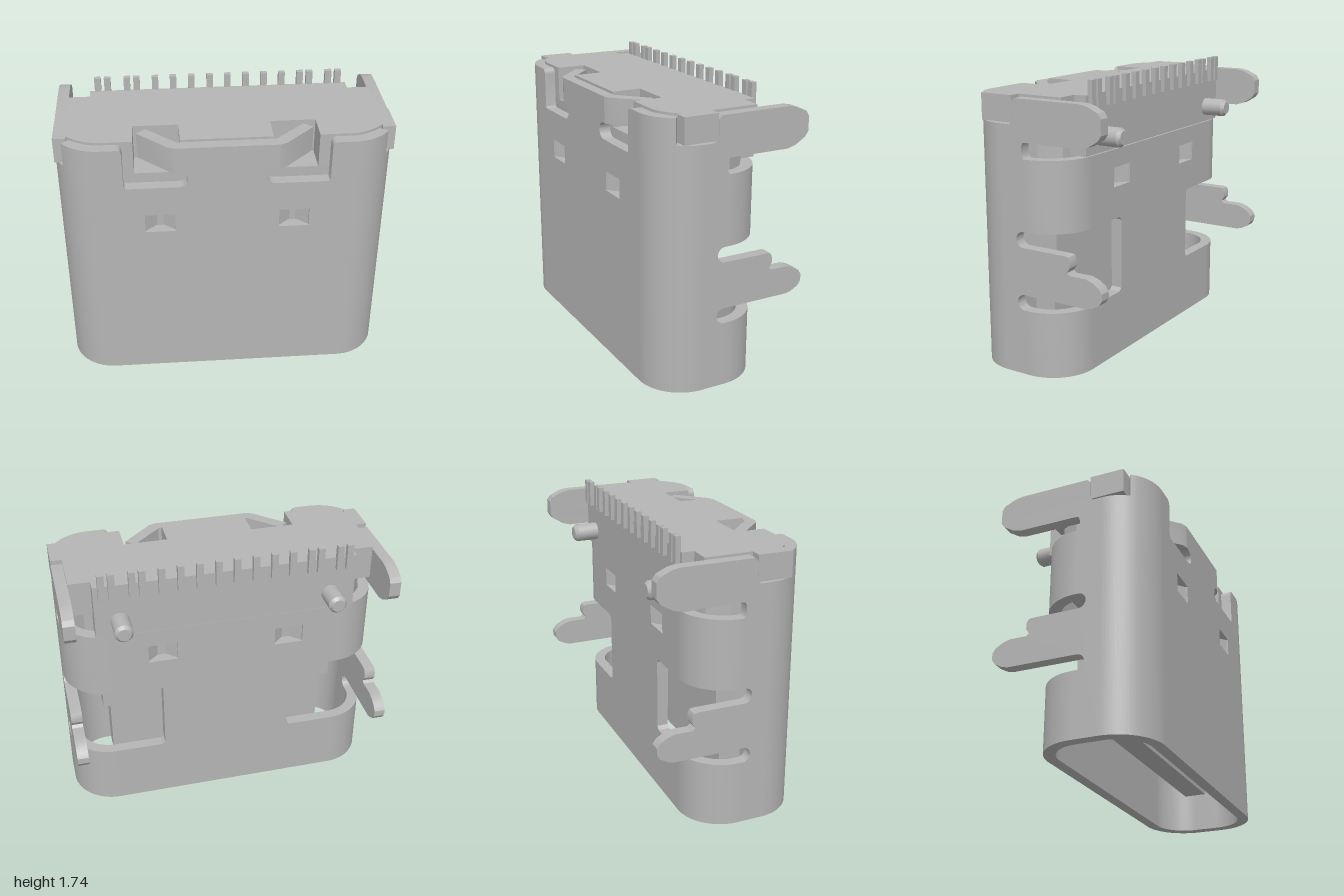
import * as THREE from 'three';
import { toCreasedNormals } from 'three/addons/utils/BufferGeometryUtils.js';

const metal = new THREE.MeshStandardMaterial({ color: 0xb5b5b5 });
metal.name = 'grey metal';

const R = 0.27, T = 0.07;                 // shell corner radius and wall thickness
const CX = 0.73, ZF = 0.20, ZB = 0.04;    // corner arc centres

export function createModel() {
  const model = new THREE.Group();

  const add = (name, geo) => {
    const mesh = new THREE.Mesh(geo, metal);
    mesh.name = name;
    model.add(mesh);
    return mesh;
  };
  const polygon = pts => new THREE.Shape(pts.map(p => new THREE.Vector2(p[0], p[1])));
  const extrude = (shape, depth) => toCreasedNormals(
    new THREE.ExtrudeGeometry(shape, { depth, bevelEnabled: false, curveSegments: 12 }), 0.5);
  // plan shapes are drawn in (x, -z) and raised from y0 to y1
  const raise = (name, shape, y0, y1) =>
    add(name, extrude(shape, y1 - y0).rotateX(-Math.PI / 2).translate(0, y0, 0));
  const plan = pts => polygon(pts.map(([x, z]) => [x, -z]));
  const box = (name, x0, x1, y0, y1, z0, z1) =>
    add(name, new THREE.BoxGeometry(x1 - x0, y1 - y0, z1 - z0)
      .translate((x0 + x1) / 2, (y0 + y1) / 2, (z0 + z1) / 2));

  // rounded shell corners, split where slots cross them
  const corner = (name, side, z, a0, a1, y0, y1) => {
    const [s, e] = side > 0 ? [a0, a1] : [Math.PI - a1, Math.PI - a0];
    const shape = new THREE.Shape();
    shape.absarc(side * CX, -z, R, s, e, false);
    shape.absarc(side * CX, -z, R - T, e, s, true);
    raise(name, shape, y0, y1);
  };
  for (const side of [1, -1]) {
    const cut = -Math.PI / 5;
    corner('frontCorner', side, ZF, -Math.PI / 2, cut, 0, 1.64);
    corner('frontCornerLow', side, ZF, cut, 0, 0, 1.49);
    corner('backCornerLower', side, ZB, 0, Math.PI / 2, 0, 0.40);
    corner('backCornerUpper', side, ZB, 0, Math.PI / 2, 0.875, 1.30);
  }

  // pressed latch dimples: openings at the same place in front and back
  const dimpleHole = side => polygon([[0.31, 1.07], [0.49, 1.07], [0.49, 1.19], [0.31, 1.19]]
    .map(([x, y]) => [side * x, y]));

  // front wall with two L-shaped cut-outs
  const front = new THREE.Shape();
  front.moveTo(-CX, 0);
  front.lineTo(CX, 0);
  front.lineTo(CX, 1.64);
  front.lineTo(0.64, 1.64);
  front.quadraticCurveTo(0.605, 1.64, 0.605, 1.60);
  front.lineTo(0.605, 1.40);
  front.quadraticCurveTo(0.605, 1.38, 0.585, 1.38);
  front.lineTo(0.28, 1.38);
  front.absarc(0.28, 1.43, 0.05, -Math.PI / 2, -Math.PI * 1.5, true);
  front.lineTo(0.30, 1.48);
  front.lineTo(0.30, 1.64);
  front.lineTo(-0.30, 1.64);
  front.lineTo(-0.30, 1.48);
  front.lineTo(-0.28, 1.48);
  front.absarc(-0.28, 1.43, 0.05, Math.PI / 2, -Math.PI / 2, true);
  front.lineTo(-0.585, 1.38);
  front.quadraticCurveTo(-0.605, 1.38, -0.605, 1.40);
  front.lineTo(-0.605, 1.60);
  front.quadraticCurveTo(-0.605, 1.64, -0.64, 1.64);
  front.lineTo(-CX, 1.64);
  front.holes.push(dimpleHole(1), dimpleHole(-1));
  add('frontWall', extrude(front, T).translate(0, 0, 0.40));

  // back wall, narrowed by a window at each side
  const half = [[CX, 0], [CX, 0.40], [0.43, 0.40], [0.41, 0.42],
    [0.41, 0.855], [0.43, 0.875], [CX, 0.875], [CX, 1.30]];
  const back = polygon([...half, ...half.map(([x, y]) => [-x, y]).reverse()]);
  back.holes.push(dimpleHole(1), dimpleHole(-1));
  add('backWall', extrude(back, T).translate(0, 0, -0.23));

  // side walls with their two solder legs, drawn in (-z, y)
  const wall = new THREE.Shape();
  const slot = (u, y0, y1, rx) => {
    wall.lineTo(u, y0);
    wall.absellipse(u, (y0 + y1) / 2, rx, (y1 - y0) / 2, -Math.PI / 2, -Math.PI * 1.5, true);
  };
  const line = pts => pts.forEach(([u, y]) => wall.lineTo(u, y));
  wall.moveTo(-ZF, 0);
  line([[-ZB, 0], [-ZB, 0.40]]);
  slot(-0.062, 0.40, 0.495, 0.048);
  line([[0.37, 0.495], [0.41, 0.505], [0.455, 0.53], [0.475, 0.56], [0.475, 0.60],
    [0.455, 0.63], [0.41, 0.657], [0.37, 0.67], [0.26, 0.67], [0.243, 0.685],
    [0.262, 0.715], [0.262, 0.75], [0.25, 0.775], [0.23, 0.78]]);
  slot(-0.062, 0.78, 0.875, 0.048);
  line([[-ZB, 0.875], [-ZB, 1.30]]);
  slot(-ZB, 1.30, 1.395, 0.02);
  line([[0.34, 1.395], [0.39, 1.41], [0.455, 1.45], [0.475, 1.48], [0.475, 1.57],
    [0.455, 1.60], [0.39, 1.63], [0.34, 1.64], [-0.10, 1.64], [-0.12, 1.62],
    [-0.12, 1.52], [-0.14, 1.49], [-ZF, 1.49]]);
  for (const x of [1 - T, -1])
    add('sideWallWithLegs', extrude(wall, T).rotateY(Math.PI / 2).translate(x, 0, 0));

  // housing cap with two pockets at the front
  const cap = [[0.80, -0.243], [0.80, -0.17], [0.93, -0.17], [0.93, 0.30], [0.88, 0.345],
    [0.81, 0.385], [0.74, 0.40], [0.54, 0.40], [0.54, 0.22], [0.27, 0.22], [0.27, 0.40]];
  raise('housingCap', plan([...cap, ...cap.map(([x, z]) => [-x, z]).reverse()]), 1.44, 1.655);

  // housing body that fills the rear of the shell
  const bodyHalf = [[0.73, -0.16], [0.85, -0.12], [0.925, 0], [0.925, 0.24], [0.85, 0.355], [0.73, 0.395]];
  raise('housingBody', plan([...bodyHalf, ...bodyHalf.map(([x, z]) => [-x, z]).reverse()]), 1.05, 1.44);
  box('housingBackBlock', -0.80, 0.80, 1.31, 1.44, -0.243, -0.10);

  // contact tongue inside the opening
  box('tongue', -0.72, 0.72, 0.18, 1.06, 0.05, 0.19);
  box('tongueBase', -0.77, 0.77, 0.60, 1.06, -0.005, 0.245);

  for (const side of [1, -1]) {
    const m = pts => plan(pts.map(([x, z]) => [side * x, z]));
    // spring tab bent into the housing pocket
    raise('bentTab', m([[0.29, 0.40], [0.30, 0.47], [0.34, 0.455], [0.52, 0.28], [0.465, 0.235]]), 1.48, 1.64);
    // V-shaped dimple strips
    const v = [[0.50, 0.465], [0.40, 0.38], [0.30, 0.465], [0.30, 0.41], [0.40, 0.33], [0.50, 0.41]];
    raise('frontDimple', m(v), 1.07, 1.19);
    raise('backDimple', m(v.map(([x, z]) => [x, 0.24 - z])), 1.07, 1.19);
    // housing ears
    box('housingEar', side > 0 ? 0.92 : -0.998, side > 0 ? 0.998 : -0.92, 1.50, 1.655, 0.122, 0.335);
    // locating pegs with a chamfered tip
    const profile = [[0, 0], [0.057, 0], [0.057, 0.14], [0.04, 0.16], [0, 0.16]]
      .map(p => new THREE.Vector2(...p));
    add('locatingPeg', toCreasedNormals(new THREE.LatheGeometry(profile, 24), 0.5)
      .rotateX(-Math.PI / 2).translate(side * 0.65, 1.41, -0.24));
    // row of contact pins
    for (const x of [0.055, 0.17, 0.283, 0.395, 0.51, 0.57, 0.69, 0.75])
      box('contactPin', side * x - 0.02, side * x + 0.02, 1.58, 1.74, -0.268, -0.236);
  }

  return model;
}
